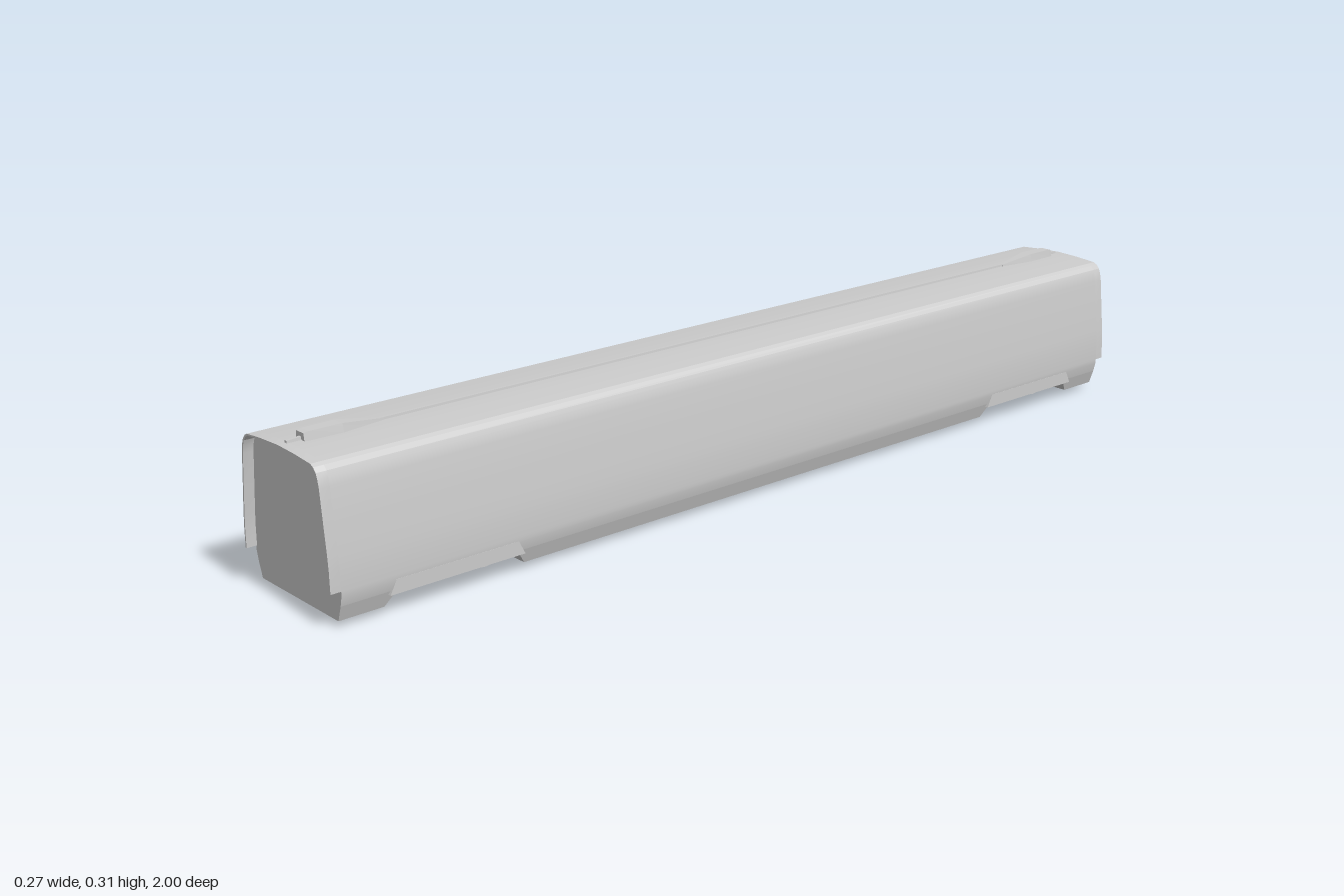
import * as THREE from 'three';
import { toCreasedNormals } from 'three/addons/utils/BufferGeometryUtils.js';

const grey = new THREE.MeshStandardMaterial({ color: 0xcccccc });
const grey2 = new THREE.MeshStandardMaterial({ color: 0xcccccc, side: THREE.DoubleSide });

// Right half of the body section, from the roof ridge down to the skirt
const upper = [[0, 0.291], [0.05, 0.289], [0.101, 0.285], [0.109, 0.281], [0.116, 0.273],
  [0.12, 0.263], [0.123, 0.248], [0.13, 0.18], [0.1345, 0.137], [0.1365, 0.11], [0.137, 0.07]];
const lower = [[0.1365, 0.06], [0.132, 0.042]];
const END = 0.98;

function add(group, name, geometry, material = grey) {
  const mesh = new THREE.Mesh(geometry, material);
  mesh.name = name;
  group.add(mesh);
  return mesh;
}

function extrudeZ(points, z0, z1, crease = 0.4) {
  const shape = new THREE.Shape(points.map(([x, y]) => new THREE.Vector2(x, y)));
  const g = new THREE.ExtrudeGeometry(shape, { depth: z1 - z0, bevelEnabled: false });
  g.translate(0, 0, z0);
  return toCreasedNormals(g, crease);
}

// Mirrors a half section into a run from right skirt over the roof to left skirt
const mirrored = (half) => [...half.slice().reverse(), ...half.slice(1).map(([x, y]) => [-x, y])];

// Block whose upper and lower faces have different sizes
function taperedBlock(yTop, yBottom, xTop, xBottom, zTop, zBottom) {
  const g = new THREE.BoxGeometry(1, 1, 1);
  const p = g.attributes.position;
  for (let i = 0; i < p.count; i++) {
    const top = p.getY(i) > 0;
    const x = top ? xTop : xBottom, z = top ? zTop : zBottom;
    p.setXYZ(i, x[p.getX(i) > 0 ? 1 : 0], top ? yTop : yBottom, z[p.getZ(i) > 0 ? 1 : 0]);
  }
  g.computeVertexNormals();
  return g;
}

// Loft of trapezoid sections [z, half base, half top, height] standing on the roof
function roofLoft(sections) {
  const pos = [], index = [], y = 0.288;
  for (const [z, b, t, h] of sections) pos.push(-b, y, z, b, y, z, t, h, z, -t, h, z);
  const last = (sections.length - 1) * 4;
  for (let s = 0; s < last; s += 4) {
    for (let k = 0; k < 4; k++) {
      const a = s + k, b = s + (k + 1) % 4;
      index.push(a, b, b + 4, a, b + 4, a + 4);
    }
  }
  index.push(0, 2, 1, 0, 3, 2, last, last + 1, last + 2, last, last + 2, last + 3);
  const g = new THREE.BufferGeometry();
  g.setAttribute('position', new THREE.Float32BufferAttribute(pos, 3));
  g.setIndex(index);
  return toCreasedNormals(g, 0.1);
}

function createBogie() {
  const bogie = new THREE.Group();
  for (const side of [-1, 1]) {
    const x = side * 0.064;
    for (const z of [-0.1, 0.1]) {
      const wheel = add(bogie, 'wheel', new THREE.CylinderGeometry(0.04, 0.04, 0.007, 24));
      wheel.rotation.z = Math.PI / 2;
      wheel.position.set(x, 0.04, z);
    }
    add(bogie, 'sideBeam', new THREE.BoxGeometry(0.008, 0.025, 0.2)).position.set(x, 0.031, 0);
    // Upright fairing over the wheel opening
    const inner = side * 0.124, outer = side * 0.137;
    const xs = [Math.min(inner, outer), Math.max(inner, outer)];
    add(bogie, 'wheelFairing', taperedBlock(0.062, 0.036, xs, xs, [-0.125, 0.125], [-0.138, 0.138]));
  }
  return bogie;
}

export function createModel() {
  const model = new THREE.Group();
  model.name = 'railCar';

  // Body shell with flat end walls
  add(model, 'body', extrudeZ(mirrored([...upper, ...lower]), -END, END, 0.22));

  // Thin lips of the shell overhanging both end walls
  const inset = upper.map(([x, y]) => [x * 0.978, y < 0.1 ? y : y - 0.003]);
  const hoop = [...mirrored(upper), ...mirrored(inset).reverse()];
  add(model, 'frontLip', extrudeZ(hoop, END, 1, 0.22), grey2);
  add(model, 'backLip', extrudeZ(hoop, -1, -END, 0.22), grey2);

  // Underfloor, interrupted by the bogie openings
  const belly = (zTop, zBottom) =>
    taperedBlock(0.042, 0.013, [-0.132, 0.132], [-0.122, 0.122], zTop, zBottom);
  add(model, 'middleUnderfloor', belly([-0.625, 0.625], [-0.605, 0.605]));
  add(model, 'frontUnderfloor', belly([0.87, END], [0.892, END]));
  add(model, 'backUnderfloor', belly([-END, -0.87], [-END, -0.892]));

  // Bogies
  for (const [name, z] of [['frontBogie', 0.75], ['backBogie', -0.75]]) {
    const bogie = createBogie();
    bogie.name = name;
    bogie.position.z = z;
    model.add(bogie);
  }

  // Roof conduit with a streamlined housing at each end
  add(model, 'roofConduit', roofLoft([[-0.81, 0.004, 0.003, 0.295], [0.81, 0.004, 0.003, 0.295]]));
  const housing = [[0.8, 0.005, 0.004, 0.294], [0.885, 0.017, 0.013, 0.306],
    [0.95, 0.015, 0.012, 0.306], [0.958, 0.014, 0.011, 0.304]];
  const tail = [[0.95, 0.004, 0.003, 0.297], [0.985, 0.004, 0.003, 0.295]];
  for (const [name, turn] of [['front', 0], ['back', Math.PI]]) {
    add(model, name + 'RoofHousing', roofLoft(housing)).rotation.y = turn;
    add(model, name + 'RoofCableEnd', roofLoft(tail)).rotation.y = turn;
  }
  return model;
}
